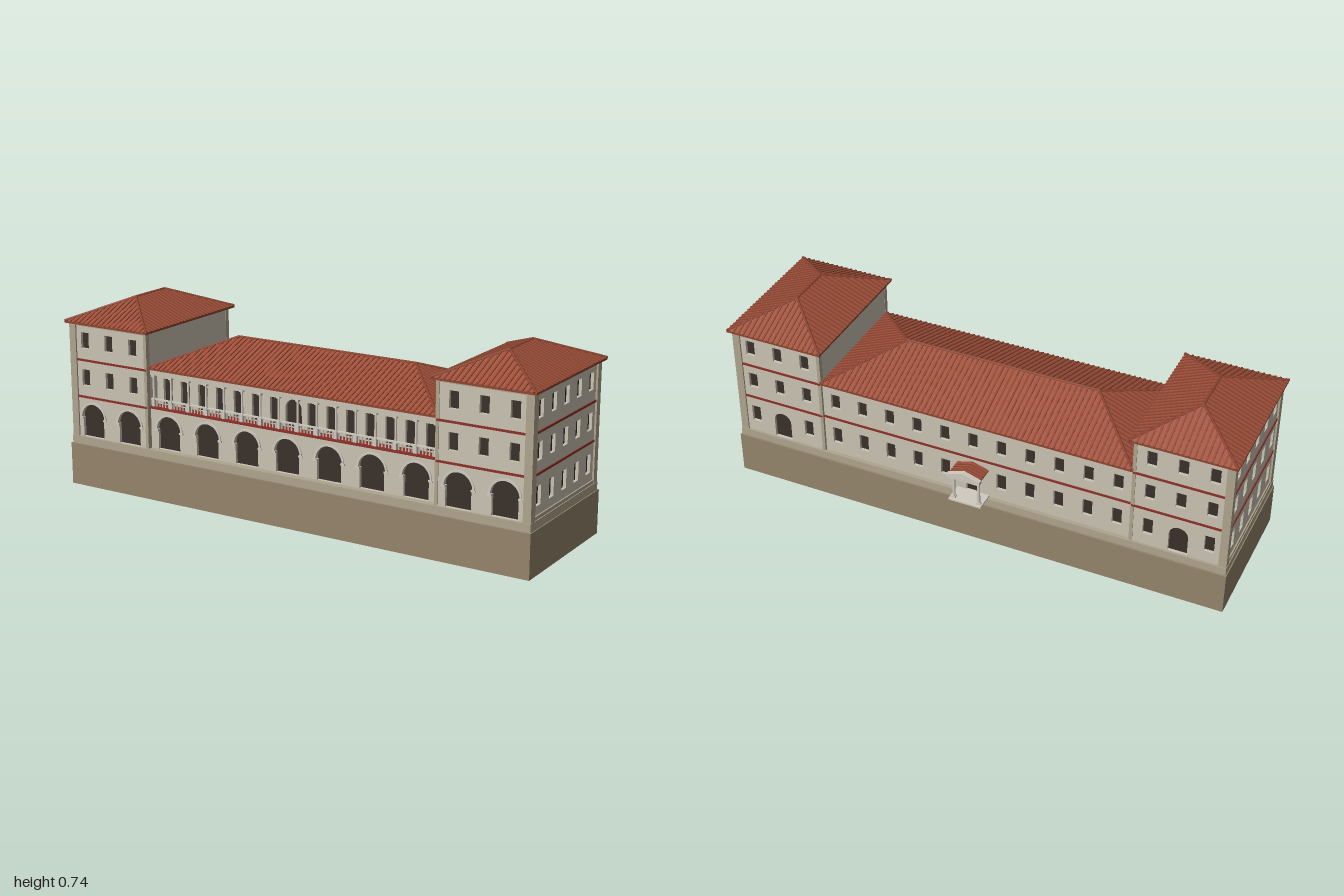
import * as THREE from 'three';
import { mergeGeometries } from 'three/addons/utils/BufferGeometryUtils.js';

const mat = (color) => new THREE.MeshStandardMaterial({ color });
const M = {
  wall: mat(0xcac3b3), trim: mat(0xb0a48e), base: mat(0x94846a), dark: mat(0x3a302a),
  band: mat(0x8b3028), tile: mat(0xa0503a), rib: mat(0x8e4531), stone: mat(0xd0cbbf),
};

// Ground, first and second floor window sills and heads
const FLOORS = [[0.243, 0.313], [0.402, 0.466], [0.549, 0.612]];
const BOTTOM = 0.197, SKIN = 0.012;

function add(parent, name, geometry, material) {
  const mesh = new THREE.Mesh(geometry, material);
  mesh.name = name;
  parent.add(mesh);
  return mesh;
}

// Box given by its limits on each axis
function boxGeo(x0, x1, y0, y1, z0, z1) {
  const a = Math.min(x0, x1), b = Math.max(x0, x1);
  return new THREE.BoxGeometry(b - a, y1 - y0, z1 - z0)
    .translate((a + b) / 2, (y0 + y1) / 2, (z0 + z1) / 2);
}
const box = (parent, name, material, ...limits) => add(parent, name, boxGeo(...limits), material);

function polygon(points, Type = THREE.Shape) {
  return new Type(points.map(([x, y]) => new THREE.Vector2(x, y)));
}
const windowHole = (x, y0, y1, w = 0.037) =>
  polygon([[x - w / 2, y0], [x + w / 2, y0], [x + w / 2, y1], [x - w / 2, y1]], THREE.Path);

// Round-headed opening, slightly narrower below the springing
function archHole(x, y0, spring, r, jamb = r) {
  const p = new THREE.Path();
  p.moveTo(x - jamb, y0);
  p.lineTo(x + jamb, y0);
  p.lineTo(x + jamb, spring);
  p.lineTo(x + r, spring);
  p.absarc(x, spring, r, 0, Math.PI, false);
  p.lineTo(x - jamb, spring);
  p.lineTo(x - jamb, y0);
  return p;
}
const arcadeHole = (x) => archHole(x, BOTTOM + 0.001, 0.275, 0.055, 0.05);

// Pierced wall skin with its outer face on local z = 0
function facade(parent, name, x0, x1, y0, y1, holes) {
  const shape = polygon([[x0, y0], [x1, y0], [x1, y1], [x0, y1]]);
  shape.holes.push(...holes);
  const geo = new THREE.ExtrudeGeometry(shape, { depth: SKIN, bevelEnabled: false, curveSegments: 10 });
  return add(parent, name, geo.translate(0, 0, -SKIN), M.wall);
}

// Raised archivolt and imposts around an arcade opening
function archTrim(parent, x, z) {
  const ring = new THREE.Shape();
  ring.absarc(x, 0.275, 0.063, 0, Math.PI, false);
  ring.absarc(x, 0.275, 0.055, Math.PI, 0, true);
  const parts = [new THREE.ExtrudeGeometry(ring, { depth: 0.004, bevelEnabled: false, curveSegments: 10 })
    .translate(0, 0, z).toNonIndexed()];
  for (const s of [-1, 1])
    parts.push(boxGeo(x + s * 0.05, x + s * 0.066, 0.269, 0.276, z - 0.002, z + 0.005).toNonIndexed());
  add(parent, 'archTrim', mergeGeometries(parts), M.stone);
}

// One hip-roof slope: eave half-width a, top half-width b, horizontal run and rise
function slope(parent, a, b, run, rise, angle, x, y, z) {
  const g = new THREE.Group();
  g.name = 'roofSlope';
  const geo = new THREE.BufferGeometry();
  geo.setAttribute('position', new THREE.Float32BufferAttribute(
    [-a, 0, 0, a, 0, 0, b, rise, -run, -a, 0, 0, b, rise, -run, -b, rise, -run], 3));
  geo.computeVertexNormals();
  add(g, 'tiles', geo, M.tile);

  const ribs = [], length = Math.hypot(run, rise), count = Math.round(2 * a / 0.0205);
  for (let i = 0; i < count; i++) {
    const u = -a + (i + 0.5) * 2 * a / count;
    const l = length * Math.min(1, (a - Math.abs(u)) / (a - b));
    ribs.push(new THREE.BoxGeometry(0.006, 0.006, l).translate(0, 0, -l / 2)
      .rotateX(Math.atan2(rise, run)).translate(u, 0, 0));
  }
  add(g, 'tileRibs', mergeGeometries(ribs), M.rib);
  g.rotation.y = angle;
  g.position.set(x, y, z);
  parent.add(g);
}

// Round cap tile running between two points
function capTile(parent, p, q) {
  const path = new THREE.LineCurve3(new THREE.Vector3(...p), new THREE.Vector3(...q));
  add(parent, 'capTile', new THREE.TubeGeometry(path, 1, 0.005, 6), M.rib);
}

// Hip roof with ridge half-lengths rx, rz (one of them zero)
function hipRoof(parent, name, cx, cz, hx, hz, rx, rz, y0, y1) {
  const g = new THREE.Group();
  g.name = name;
  parent.add(g);
  box(g, 'eaves', M.rib, cx - hx, cx + hx, y0 - 0.008, y0, cz - hz, cz + hz);
  for (const s of [1, -1]) {
    slope(g, hx, rx, hz - rz, y1 - y0, s > 0 ? 0 : Math.PI, cx, y0, cz + s * hz);
    slope(g, hz, rz, hx - rx, y1 - y0, s * Math.PI / 2, cx + s * hx, y0, cz);
    for (const t of [1, -1])
      capTile(g, [cx + s * hx, y0, cz + t * hz], [cx + s * rx, y1, cz + t * rz]);
  }
  capTile(g, [cx - rx, y1, cz - rz], [cx + rx, y1, cz + rz]);
}

function tower(s) {
  const g = new THREE.Group();
  g.name = s > 0 ? 'leftTower' : 'rightTower';
  const top = 0.645, cx = s * 0.8, xs = [-0.115, 0, 0.115].map((d) => cx + d);
  const [xa, xb] = [s * 0.62, s * 0.978].sort((p, q) => p - q);
  box(g, 'interior', M.dark, s * 0.625, s * 0.966, BOTTOM, top, -0.22, 0.284);
  box(g, 'innerWall', M.wall, s * 0.618, s * 0.63, BOTTOM, top, -0.2205, 0.2845);

  const upper = (f) => xs.map((x) => windowHole(x, ...FLOORS[f]));
  const arches = [s * 0.708, s * 0.885];
  facade(g, 'frontWall', xa, xb, BOTTOM, top, [...upper(1), ...upper(2), ...arches.map(arcadeHole)])
    .position.z = 0.296;
  arches.forEach((x) => archTrim(g, x, 0.296));
  const back = facade(g, 'backWall', -xb, -xa, BOTTOM, top, [...upper(1), ...upper(2),
    windowHole(xs[0], ...FLOORS[0]), windowHole(xs[2], ...FLOORS[0]),
    archHole(cx, BOTTOM + 0.001, 0.275, 0.036)].map((h) => polygon(
    h.getPoints(10).map((p) => [-p.x, p.y]), THREE.Path)));
  back.rotation.y = Math.PI;
  back.position.z = -0.232;
  const side = facade(g, 'sideWall', -0.252, 0.252, BOTTOM, top,
    FLOORS.flatMap((f) => [-2, -1, 0, 1, 2].map((k) => windowHole(k * 0.101, ...f))));
  side.rotation.y = s * Math.PI / 2;
  side.position.set(s * 0.978, 0, 0.032);

  // Corner pilasters, sill and cornice strips
  for (const [z0, z1] of [[0.27, 0.302], [-0.238, -0.21]])
    box(g, 'cornerPilaster', M.trim, s * 0.955, s * 0.985, BOTTOM, top, z0, z1);
  for (const [z0, z1] of [[0.28, 0.299], [-0.235, -0.216]])
    box(g, 'innerPilaster', M.trim, s * 0.617, s * 0.63, BOTTOM, top, z0, z1);
  for (const [y0, y1] of [[BOTTOM, 0.21], [0.637, top]])
    box(g, 'sideStrip', M.trim, s * 0.97, s * 0.983, y0, y1, -0.21, 0.27);
  box(g, 'cornice', M.trim, s * 0.618, s * 0.983, 0.637, top, -0.236, 0.3);

  // Red string courses on three sides
  for (const y of [0.357, 0.503]) {
    box(g, 'stringCourse', M.band, s * 0.62, s * 0.955, y - 0.004, y + 0.004, -0.236, 0.3);
    box(g, 'stringCourse', M.band, s * 0.95, s * 0.982, y - 0.004, y + 0.004, -0.21, 0.27);
  }
  hipRoof(g, 'towerRoof', cx, 0.03, 0.197, 0.285, 0, 0.09, 0.653, 0.735);
  return g;
}

function mainBlock() {
  const g = new THREE.Group();
  g.name = 'mainBlock';
  box(g, 'interior', M.dark, -0.622, 0.622, BOTTOM, 0.505, -0.213, 0.223);
  box(g, 'arcadeInterior', M.dark, -0.622, 0.622, BOTTOM, 0.354, 0.2, 0.266);

  // Ground-floor arcade
  const arches = [-3, -2, -1, 0, 1, 2, 3].map((k) => k * 0.178);
  facade(g, 'arcadeWall', -0.622, 0.622, BOTTOM, 0.354, arches.map(arcadeHole)).position.z = 0.278;
  arches.forEach((x) => archTrim(g, x, 0.278));
  box(g, 'stringCourse', M.band, -0.62, 0.62, 0.353, 0.361, 0.22, 0.284);

  // Open gallery: window wall, columns, beam and balustrade
  const pitch = 0.081, ks = [1, 2, 3, 4, 5, 6, 7].flatMap((k) => [-k, k]);
  facade(g, 'galleryWall', -0.622, 0.622, 0.358, 0.505, [archHole(0, 0.362, 0.431, 0.035),
    ...ks.map((k) => windowHole(k * pitch, 0.362, 0.463, 0.042))]).position.z = 0.235;
  const columns = [], balusters = [];
  for (let i = -7.5; i <= 7.5; i++) {
    const x = i * pitch;
    columns.push(new THREE.CylinderGeometry(0.004, 0.005, 0.12, 8).translate(x, 0.421, 0.27),
      boxGeo(x - 0.007, x + 0.007, 0.474, 0.483, 0.263, 0.277),
      boxGeo(x - 0.007, x + 0.007, 0.361, 0.392, 0.263, 0.277));
    if (i < 7) for (let j = 1; j < 6; j++)
      balusters.push(new THREE.CylinderGeometry(0.002, 0.003, 0.026, 6)
        .translate(x + j * pitch / 6, 0.374, 0.27));
  }
  add(g, 'galleryColumns', mergeGeometries(columns), M.stone);
  add(g, 'balusters', mergeGeometries(balusters), M.stone);
  box(g, 'handrail', M.stone, -0.62, 0.62, 0.386, 0.391, 0.265, 0.275);
  box(g, 'galleryBeam', M.wall, -0.62, 0.62, 0.483, 0.506, 0.262, 0.278);

  // Back wall with two rows of windows and the arched door
  const holes = [archHole(0, BOTTOM + 0.001, 0.265, 0.027)];
  for (let k = -5; k <= 5; k++) {
    holes.push(windowHole(k * 0.113, ...FLOORS[1]));
    if (k) holes.push(windowHole(k * 0.113, ...FLOORS[0]));
  }
  const back = facade(g, 'backWall', -0.622, 0.622, BOTTOM, 0.505, holes);
  back.rotation.y = Math.PI;
  back.position.z = -0.225;
  box(g, 'stringCourse', M.band, -0.62, 0.62, 0.353, 0.361, -0.229, -0.22);
  hipRoof(g, 'mainRoof', 0, 0.026, 0.62, 0.264, 0.385, 0, 0.513, 0.61);
  return g;
}

// Gabled porch over the back door
function porch() {
  const g = new THREE.Group();
  g.name = 'porch';
  box(g, 'porchFloor', M.stone, -0.065, 0.065, BOTTOM, 0.203, -0.303, -0.22);
  const gable = (name, material, w, y0, eave, apex, z0, z1) => add(g, name,
    new THREE.ExtrudeGeometry(polygon([[-w, y0], [w, y0], [w, eave], [0, apex], [-w, eave]]),
      { depth: z1 - z0, bevelEnabled: false }).translate(0, 0, z0), material);
  gable('porchRoof', M.tile, 0.063, 0.316, 0.321, 0.339, -0.297, -0.22);
  gable('pediment', M.stone, 0.066, 0.311, 0.325, 0.346, -0.315, -0.295);
  for (const s of [-1, 1]) {
    const x = s * 0.05;
    add(g, 'porchColumn', new THREE.CylinderGeometry(0.005, 0.006, 0.1, 12)
      .translate(x, 0.252, -0.284), M.stone);
    box(g, 'columnBase', M.stone, x - 0.008, x + 0.008, 0.203, 0.209, -0.292, -0.276);
    box(g, 'capital', M.stone, x - 0.008, x + 0.008, 0.3, 0.309, -0.292, -0.276);
    box(g, 'porchBeam', M.stone, x - 0.007, x + 0.007, 0.307, 0.317, -0.298, -0.22);
    for (let i = 0; i < 4; i++) {
      const rib = add(g, 'porchTileRib', new THREE.BoxGeometry(0.065, 0.003, 0.005), M.rib);
      rib.position.set(s * 0.0315, 0.331, -0.245 - i * 0.015);
      rib.rotation.z = -s * Math.atan2(0.018, 0.063);
    }
  }
  return g;
}

export function createModel() {
  const model = new THREE.Group();
  model.name = 'arcadedPalace';
  box(model, 'foundation', M.base, -0.99, 0.99, 0, 0.166, -0.248, 0.311);
  box(model, 'plinth', M.trim, -0.986, 0.986, 0.166, BOTTOM, -0.241, 0.305);
  model.add(mainBlock(), tower(1), tower(-1), porch());
  return model;
}
